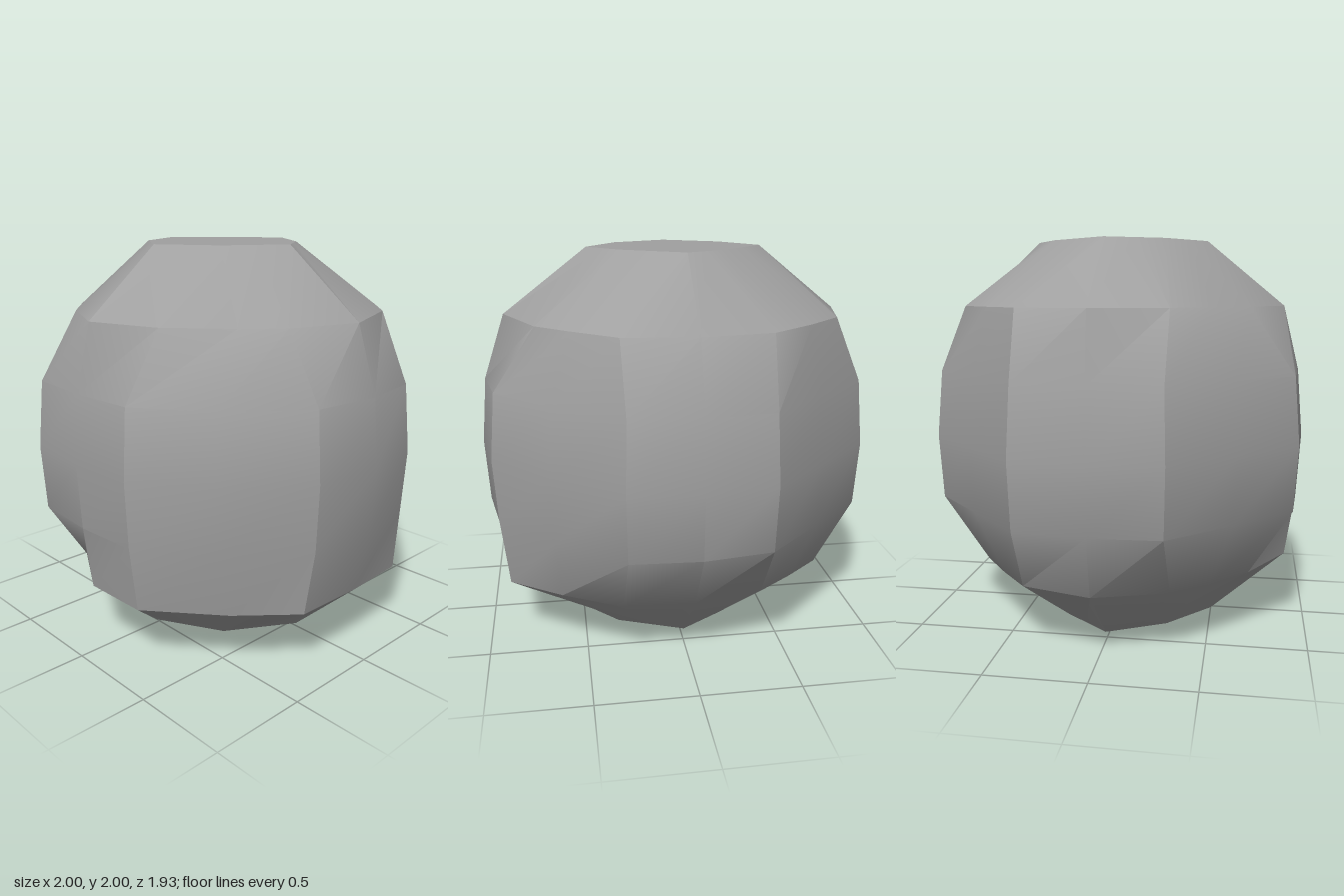
import * as THREE from 'three';
import { toCreasedNormals } from 'three/addons/utils/BufferGeometryUtils.js';

// Adds the midpoints of an eight-cornered cap, so it matches the 16-point rings
function withMidpoints(corners) {
  return corners.flatMap(([x, z], i) => {
    const [nx, nz] = corners[(i + 1) % corners.length];
    return [[x, z], [(x + nx) / 2, (z + nz) / 2]];
  });
}

// Cross-sections [x, z], starting at +x and turning toward +z
const belt = [
  [1, -0.02], [0.96, 0.34], [0.68, 0.7], [0.33, 0.94], [-0.02, 0.96], [-0.39, 0.93], [-0.69, 0.64], [-0.98, 0.34],
  [-1, -0.01], [-0.96, -0.37], [-0.66, -0.65], [-0.37, -0.92], [-0.02, -0.97], [0.33, -0.95], [0.66, -0.68], [0.94, -0.36],
];
const shoulder = [
  [0.86, -0.02], [0.75, 0.33], [0.6, 0.5], [0.34, 0.73], [-0.02, 0.85], [-0.38, 0.68], [-0.58, 0.51], [-0.75, 0.33],
  [-0.88, -0.02], [-0.79, -0.37], [-0.6, -0.56], [-0.37, -0.75], [-0.02, -0.81], [0.33, -0.77], [0.54, -0.58], [0.7, -0.42],
];
const foot = [
  [0.9, -0.02], [0.89, 0.34], [0.66, 0.6], [0.32, 0.88], [-0.03, 0.89], [-0.37, 0.7], [-0.56, 0.52], [-0.72, 0.34],
  [-0.84, -0.02], [-0.74, -0.37], [-0.56, -0.52], [-0.37, -0.66], [-0.02, -0.74], [0.33, -0.72], [0.62, -0.56], [0.88, -0.38],
];
const topCap = withMidpoints([
  [0.43, -0.02], [0.26, 0.28], [-0.03, 0.45], [-0.31, 0.26], [-0.47, -0.02], [-0.22, -0.32], [-0.02, -0.45], [0.28, -0.23],
]);
const bottomCap = withMidpoints([
  [0.53, -0.02], [0.32, 0.32], [-0.02, 0.5], [-0.28, 0.28], [-0.44, -0.02], [-0.24, -0.26], [-0.02, -0.4], [0.32, -0.26],
]);
const scaled = (ring, s) => ring.map(([x, z]) => [x * s, z * s]);

function rockGeometry() {
  const levels = [
    [0, bottomCap], [0.34, foot], [0.67, scaled(belt, 0.98)], [1, belt],
    [1.34, scaled(belt, 0.97)], [1.67, shoulder], [2, topCap],
  ];
  const n = 16;
  const positions = [];
  const index = [];
  for (const [y, ring] of levels) for (const [x, z] of ring) positions.push(x, y, z);

  // Faceted wall between neighbouring cross-sections
  for (let j = 0; j < levels.length - 1; j++) {
    for (let i = 0; i < n; i++) {
      const a = j * n + i, b = j * n + (i + 1) % n;
      const c = a + n, d = b + n;
      index.push(a, c, b, b, c, d);
    }
  }

  // Flat top and bottom
  const last = (levels.length - 1) * n;
  const bottom = positions.length / 3;
  positions.push(0, 0, 0, 0, 2, 0);
  for (let i = 0; i < n; i++) {
    const k = (i + 1) % n;
    index.push(bottom, i, k, bottom + 1, last + k, last + i);
  }

  const geometry = new THREE.BufferGeometry();
  geometry.setAttribute('position', new THREE.Float32BufferAttribute(positions, 3));
  geometry.setIndex(index);
  return toCreasedNormals(geometry, THREE.MathUtils.degToRad(30));
}

export function createModel() {
  const group = new THREE.Group();
  group.name = 'boulder';
  const stone = new THREE.MeshStandardMaterial({ color: 0xa0a0a0 });
  stone.name = 'stone grey';
  const rock = new THREE.Mesh(rockGeometry(), stone);
  rock.name = 'rock';
  group.add(rock);
  return group;
}
